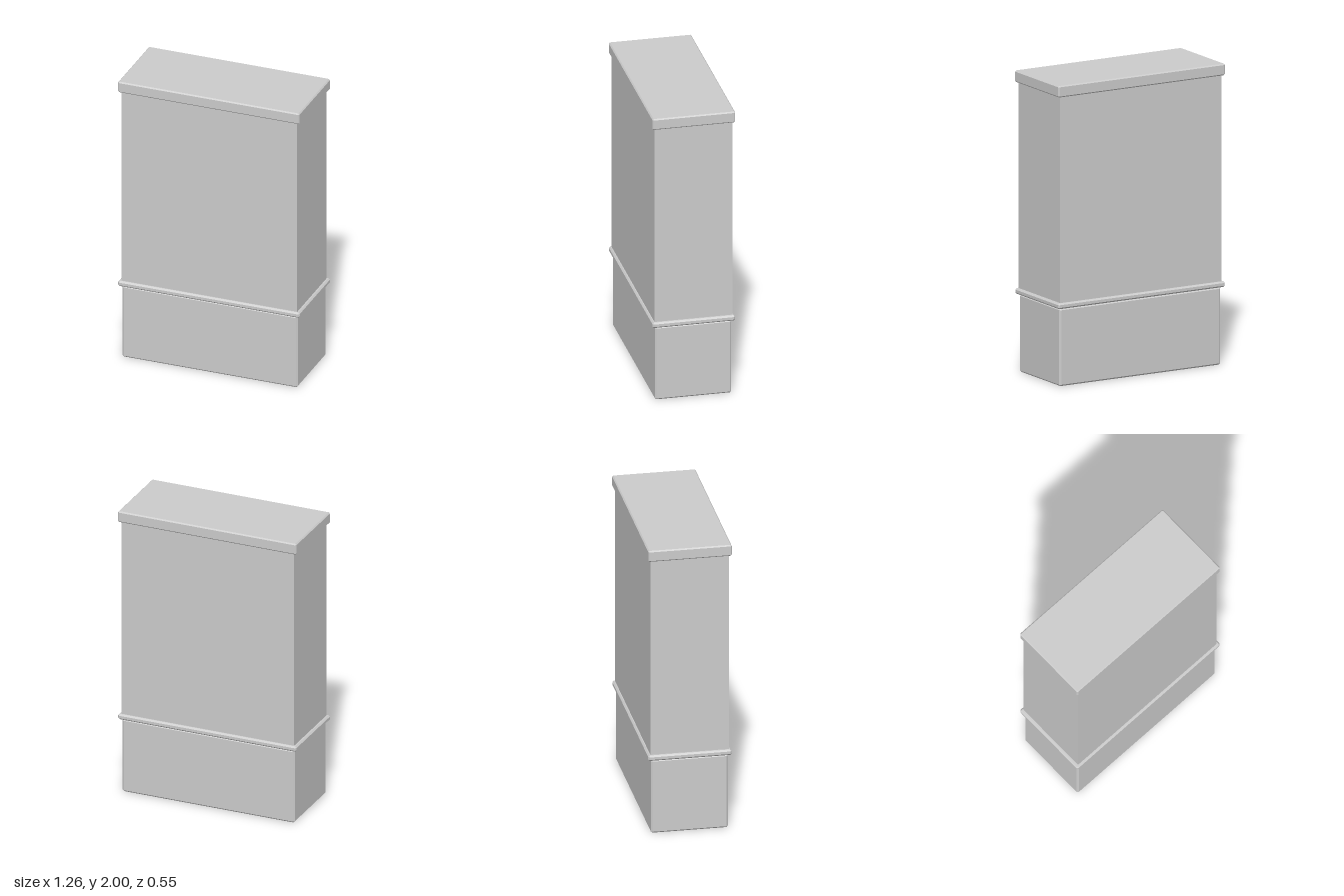
import * as THREE from 'three';

const material = new THREE.MeshStandardMaterial({
  color: 0xcccccc, flatShading: true, side: THREE.DoubleSide,
});

// Box from y0 to y1 with every edge chamfered by c; the bottom face can be left open.
function chamferedBox(hx, hz, y0, y1, c, openBottom = false) {
  // Eight points per ring; at the inset end rings the pairs meet in four corners.
  const ring = (y, inset) => {
    const points = [];
    [[1, 1], [1, -1], [-1, -1], [-1, 1]].forEach(([sx, sz], i) => {
      const x = sx * (hx - c), z = sz * (hz - c);
      const pair = inset ? [[x, z], [x, z]] : [[x, sz * hz], [sx * hx, z]];
      if (i % 2) pair.reverse();
      pair.forEach(([px, pz]) => points.push([px, y, pz]));
    });
    return points;
  };
  const rings = [ring(y0, true), ring(y0 + c, false), ring(y1 - c, false), ring(y1, true)];
  const positions = [];
  const quad = (a, b, d, e) => positions.push(...a, ...b, ...d, ...a, ...d, ...e);

  for (let r = 0; r < 3; r++) {
    for (let i = 0; i < 8; i++) {
      const j = (i + 1) % 8;
      quad(rings[r][i], rings[r][j], rings[r + 1][j], rings[r + 1][i]);
    }
  }
  const [top, bottom] = [rings[3], rings[0]];
  quad(top[0], top[2], top[4], top[6]);
  if (!openBottom) quad(bottom[6], bottom[4], bottom[2], bottom[0]);

  const geometry = new THREE.BufferGeometry();
  geometry.setAttribute('position', new THREE.Float32BufferAttribute(positions, 3));
  geometry.computeVertexNormals();
  return geometry;
}

export function createModel() {
  const group = new THREE.Group();
  const add = (name, geometry) => {
    const mesh = new THREE.Mesh(geometry, material);
    mesh.name = name;
    group.add(mesh);
  };

  // Hollow plinth, open underneath
  add('base', chamferedBox(0.61, 0.254, 0, 0.515, 0.01, true));

  // Thin moulding between plinth and shaft
  add('band', chamferedBox(0.632, 0.275, 0.517, 0.555, 0.01));

  // Plain sharp-edged shaft
  const shaft = new THREE.BoxGeometry(1.224, 1.4, 0.518);
  shaft.translate(0, 1.235, 0);
  add('shaft', shaft);

  // Overhanging top slab
  add('cap', chamferedBox(0.632, 0.275, 1.923, 2, 0.008));

  return group;
}
